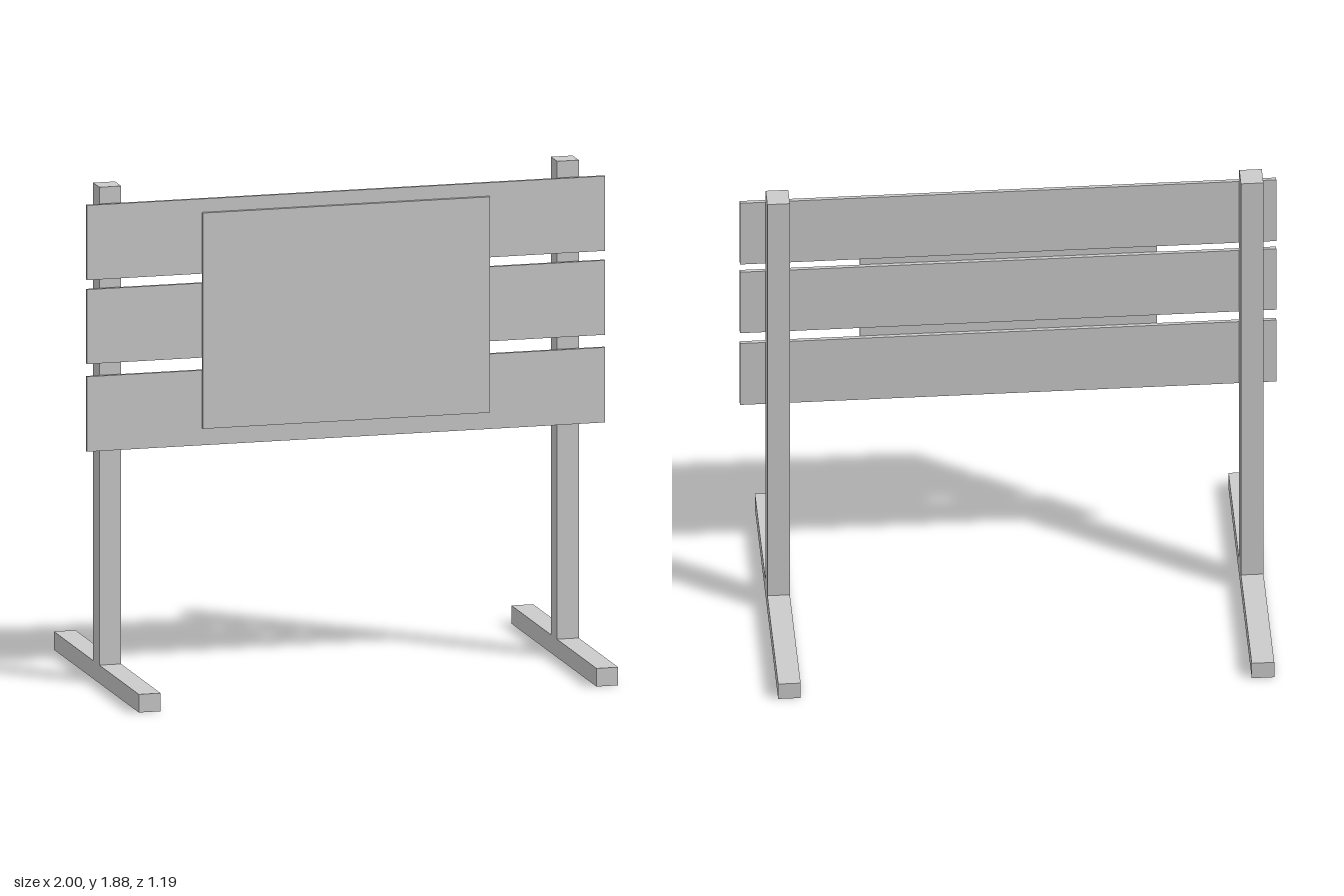
import * as THREE from 'three';

export function createModel() {
  const group = new THREE.Group();
  const material = new THREE.MeshStandardMaterial({ color: 0xcccccc, flatShading: true });

  // Box given by its extents along each axis
  function addBox(name, [x0, x1], [y0, y1], [z0, z1]) {
    const mesh = new THREE.Mesh(new THREE.BoxGeometry(x1 - x0, y1 - y0, z1 - z0), material);
    mesh.position.set((x0 + x1) / 2, (y0 + y1) / 2, (z0 + z1) / 2);
    mesh.name = name;
    group.add(mesh);
  }

  // Upright posts, each standing on a long foot
  const footTop = 0.069;
  for (const [side, x] of [['right', -0.903], ['left', 0.863]]) {
    const width = [x - 0.042, x + 0.042];
    addBox(side + 'Foot', width, [0, footTop], [-0.593, 0.593]);
    addBox(side + 'Post', width, [footTop, 1.885], [-0.043, 0.043]);
  }

  // Three horizontal planks, just clear of the posts
  const planks = [['lowerPlank', 0.888, 1.173], ['middlePlank', 1.221, 1.504], ['upperPlank', 1.54, 1.824]];
  for (const [name, bottom, top] of planks) {
    addBox(name, [-1, 1], [bottom, top], [0.054, 0.068]);
  }

  // Sign panel on the front of the planks
  addBox('signPanel', [-0.556, 0.552], [0.953, 1.773], [0.068, 0.082]);

  return group;
}
